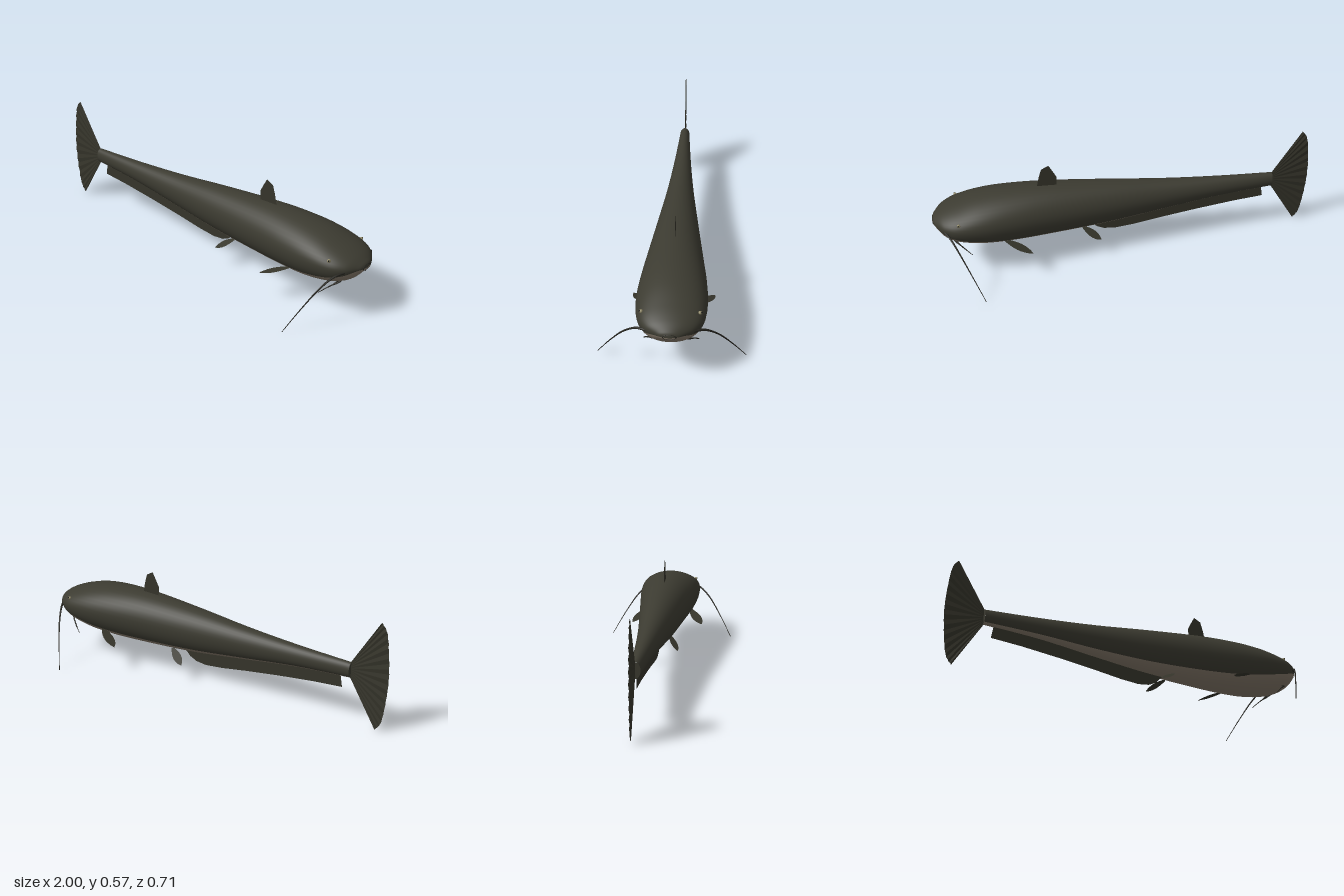
import * as THREE from 'three';

const mat = (name, color, side = THREE.FrontSide) => {
  const m = new THREE.MeshStandardMaterial({ color, side });
  m.name = name;
  return m;
};
const V = (x, y, z) => new THREE.Vector3(x, y, z);

// Body stations: x, widest height, rise above, drop below, half width, belly line (share of drop)
const STATIONS = [
  [-0.80, 0.290, 0.040, 0.040, 0.026, 0.80],
  [-0.50, 0.288, 0.056, 0.058, 0.045, 0.78],
  [-0.20, 0.284, 0.082, 0.092, 0.070, 0.75],
  [0.10, 0.283, 0.114, 0.126, 0.103, 0.71],
  [0.40, 0.288, 0.132, 0.147, 0.137, 0.67],
  [0.60, 0.290, 0.130, 0.151, 0.160, 0.62],
  [0.75, 0.290, 0.113, 0.140, 0.168, 0.53],
  [0.87, 0.290, 0.080, 0.112, 0.155, 0.42],
  [0.94, 0.290, 0.052, 0.076, 0.118, 0.30],
  [0.98, 0.290, 0.026, 0.030, 0.062, 0.15],
  [0.993, 0.288, 0.014, 0.014, 0.032, 0.05],
  [0.998, 0.287, 0.001, 0.001, 0.002, 0.02],
];

function bodyGeometry() {
  const columns = [1, 2, 3, 4, 5].map(
    (c) => new THREE.SplineCurve(STATIONS.map((s) => new THREE.Vector2(s[0], s[c]))));
  const rings = 88, upper = 28, lower = 16, n = upper + lower;
  const pos = [], back = [], pale = [];
  for (let i = 0; i <= rings; i++) {
    const p = columns.map((c) => c.getPoint(i / rings));
    const [cy, up, down, half, line] = p.map((q) => q.y);
    const phi = Math.asin(line);
    for (let j = 0; j < n; j++) {
      // the vertex columns follow the edge of the pale belly
      const a = j < upper
        ? -phi + (Math.PI + 2 * phi) * j / upper
        : Math.PI + phi + (Math.PI - 2 * phi) * (j - upper) / lower;
      const s = Math.sin(a);
      pos.push(p[0].x, cy + (s > 0 ? up : down) * s, half * Math.cos(a));
      if (i === rings) continue;
      const k = (j + 1) % n, A = i * n + j, B = i * n + k;
      (j < upper ? back : pale).push(A, A + n, B, B, A + n, B + n);
    }
  }
  const g = new THREE.BufferGeometry();
  g.setAttribute('position', new THREE.Float32BufferAttribute(pos, 3));
  g.setIndex([...back, ...pale]);
  g.addGroup(0, back.length, 0);
  g.addGroup(back.length, pale.length, 1);
  g.computeVertexNormals();
  return g;
}

// Fan of pleated rays from the tail root to a curved rim
function tailGeometry() {
  const rim = new THREE.SplineCurve([[-0.945, 0.575], [-0.975, 0.53], [-0.992, 0.42], [-1, 0.29],
    [-0.992, 0.16], [-0.975, 0.05], [-0.945, 0.005]].map((p) => new THREE.Vector2(...p)));
  const rays = 28, pos = [];
  const root = (i) => [-0.795, 0.327 - 0.074 * i / rays, 0];
  const edge = (i) => {
    const p = rim.getPoint(i / rays);
    return [p.x, p.y, i % 2 ? 0.002 : -0.002];
  };
  for (let i = 0; i < rays; i++) {
    pos.push(...root(i), ...edge(i), ...edge(i + 1), ...root(i), ...edge(i + 1), ...root(i + 1));
  }
  const g = new THREE.BufferGeometry();
  g.setAttribute('position', new THREE.Float32BufferAttribute(pos, 3));
  g.computeVertexNormals();
  return g;
}

const flatFin = (points) =>
  new THREE.ShapeGeometry(new THREE.Shape(points.map((p) => new THREE.Vector2(...p))));

// Leaf-shaped fin between root and tip, spread along a width direction
function leafGeometry(root, tip, across, half) {
  const w = across.clone().normalize(), d = tip.clone().sub(root), steps = 8;
  const pos = [], index = [];
  for (let i = 0; i <= steps; i++) {
    const t = i / steps;
    const r = half * (0.35 * (1 - t) + 0.95 * Math.pow(Math.sin(Math.PI * Math.pow(t, 1.2)), 0.8));
    const c = root.clone().addScaledVector(d, t);
    for (const s of [-1, 1]) pos.push(...c.clone().addScaledVector(w, s * r).toArray());
    if (i < steps) index.push(2 * i, 2 * i + 1, 2 * i + 2, 2 * i + 1, 2 * i + 3, 2 * i + 2);
  }
  const g = new THREE.BufferGeometry();
  g.setAttribute('position', new THREE.Float32BufferAttribute(pos, 3));
  g.setIndex(index);
  g.computeVertexNormals();
  return g;
}

// Tube that thins toward its end
function whiskerGeometry(points, r0, r1) {
  const curve = new THREE.CatmullRomCurve3(points), segs = 28, sides = 8;
  const g = new THREE.TubeGeometry(curve, segs, r0, sides);
  const p = g.attributes.position, v = V(0, 0, 0);
  for (let i = 0; i < p.count; i++) {
    const t = Math.floor(i / (sides + 1)) / segs, c = curve.getPointAt(t);
    v.fromBufferAttribute(p, i).sub(c).multiplyScalar(1 + (r1 / r0 - 1) * Math.sqrt(t)).add(c);
    p.setXYZ(i, v.x, v.y, v.z);
  }
  return g;
}

export function createModel() {
  const model = new THREE.Group();
  model.name = 'catfish';
  const skin = mat('dark skin', 0x3c3b31);
  const belly = mat('pale belly', 0x85796a);
  const fin = mat('fin', 0x36352b, THREE.DoubleSide);
  const whisker = mat('whisker', 0x26251f);
  const eyeMat = mat('eye', 0x8f8868);
  const pupilMat = mat('pupil', 0x12120f);
  const add = (name, geometry, material) => {
    const m = new THREE.Mesh(geometry, material);
    m.name = name;
    model.add(m);
    return m;
  };

  add('body', bodyGeometry(), [skin, belly]);
  const stump = add('tailStump', new THREE.CircleGeometry(1, 24), skin);
  stump.rotation.y = -Math.PI / 2;
  stump.scale.set(0.026, 0.04, 1);
  stump.position.set(-0.8, 0.29, 0);

  // Fins on the centre line
  add('tailFin', tailGeometry(), fin);
  add('dorsalFin', flatFin([[0.355, 0.4], [0.35, 0.465], [0.37, 0.505], [0.39, 0.542],
    [0.428, 0.522], [0.442, 0.475], [0.458, 0.4]]), fin);
  add('analFin', flatFin([[-0.743, 0.265], [-0.757, 0.185], [-0.6, 0.172], [-0.4, 0.148],
    [-0.2, 0.12], [-0.05, 0.096], [0.05, 0.086], [0.11, 0.093], [0.15, 0.112], [0.2, 0.165],
    [0, 0.195], [-0.4, 0.24]]), fin);

  // Mouth rim
  const mouth = add('mouth', new THREE.TorusGeometry(0.03, 0.003, 8, 32), whisker);
  mouth.rotation.y = Math.PI / 2;
  mouth.scale.set(1, 0.45, 1);
  mouth.position.set(0.992, 0.288, 0);

  // Paired parts
  for (const s of [1, -1]) {
    const side = s > 0 ? 'Right' : 'Left';
    const P = (x, y, z) => V(x, y, z * s);
    add('pectoralFin' + side,
      leafGeometry(P(0.645, 0.2, 0.125), P(0.51, 0.148, 0.2), P(0.5, 0.1, 0.85), 0.025), fin);
    add('pelvicFin' + side,
      leafGeometry(P(0.23, 0.16, 0.05), P(0.14, 0.098, 0.1), P(0.55, -0.25, 0.7), 0.02), fin);
    add('longWhisker' + side, whiskerGeometry([P(0.945, 0.285, 0.1), P(0.915, 0.272, 0.155),
      P(0.88, 0.222, 0.215), P(0.83, 0.122, 0.285), P(0.775, 0.002, 0.355)], 0.008, 0.0015), whisker);
    add('outerChinWhisker' + side, whiskerGeometry([P(0.89, 0.208, 0.07), P(0.88, 0.19, 0.092),
      P(0.85, 0.163, 0.112), P(0.815, 0.13, 0.13)], 0.006, 0.0015), whisker);
    add('innerChinWhisker' + side, whiskerGeometry([P(0.9, 0.203, 0.07), P(0.89, 0.193, 0.085),
      P(0.87, 0.18, 0.102), P(0.84, 0.155, 0.122)], 0.006, 0.0015), whisker);
    const eye = add('eye' + side, new THREE.SphereGeometry(0.009, 16, 12), eyeMat);
    eye.position.set(0.868, 0.331, s * 0.134);
    const pupil = add('pupil' + side, new THREE.SphereGeometry(0.004, 12, 8), pupilMat);
    pupil.position.set(0.8705, 0.3345, s * 0.1405);
  }
  return model;
}
